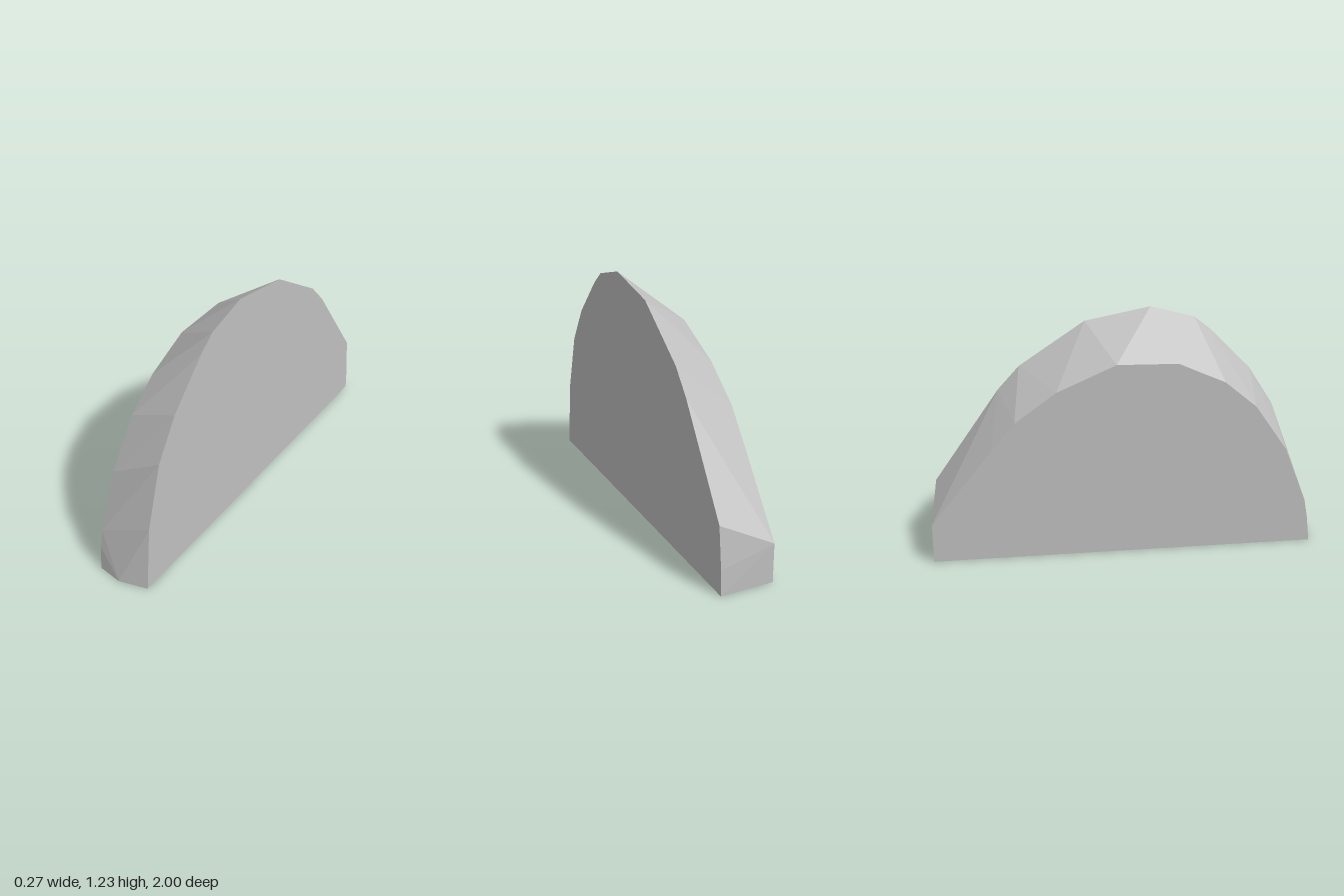
import * as THREE from 'three';
import { ConvexGeometry } from 'three/addons/geometries/ConvexGeometry.js';

// Outlines of the two flat sides as [z, y], from the front foot over the top to the back foot.
const tallSide = [
  [0.96, 0], [0.92, 0.36], [0.82, 0.69], [0.69, 0.89], [0.48, 1.10], [0.39, 1.17], [0.16, 1.23],
  [-0.18, 1.165], [-0.52, 0.94], [-0.63, 0.82], [-0.97, 0.34], [-0.995, 0.13], [-1, 0],
];
const lowSide = [
  [0.98, 0], [0.965, 0.13], [0.946, 0.23], [0.83, 0.52], [0.665, 0.755], [0.5, 0.89], [0.26, 0.995],
  [-0.05, 1.0], [-0.35, 0.87], [-0.56, 0.72], [-0.68, 0.58], [-0.99, 0.2], [-0.99, 0],
];
const halfWidth = 0.137;

export function createModel() {
  const group = new THREE.Group();
  group.name = 'stoneSlab';

  const stone = new THREE.MeshStandardMaterial({ color: 0xbfbfbf });
  stone.name = 'light grey stone';

  // Faceted rim stretched between the two sides, with a small ridge at the front foot
  const onSide = (outline, x) => outline.map(([z, y]) => new THREE.Vector3(x, y, z));
  const points = [
    ...onSide(tallSide, halfWidth),
    ...onSide(lowSide, -halfWidth),
    new THREE.Vector3(-0.01, 0, 1),
  ];

  const slab = new THREE.Mesh(new ConvexGeometry(points), stone);
  slab.name = 'slab';
  group.add(slab);
  return group;
}
